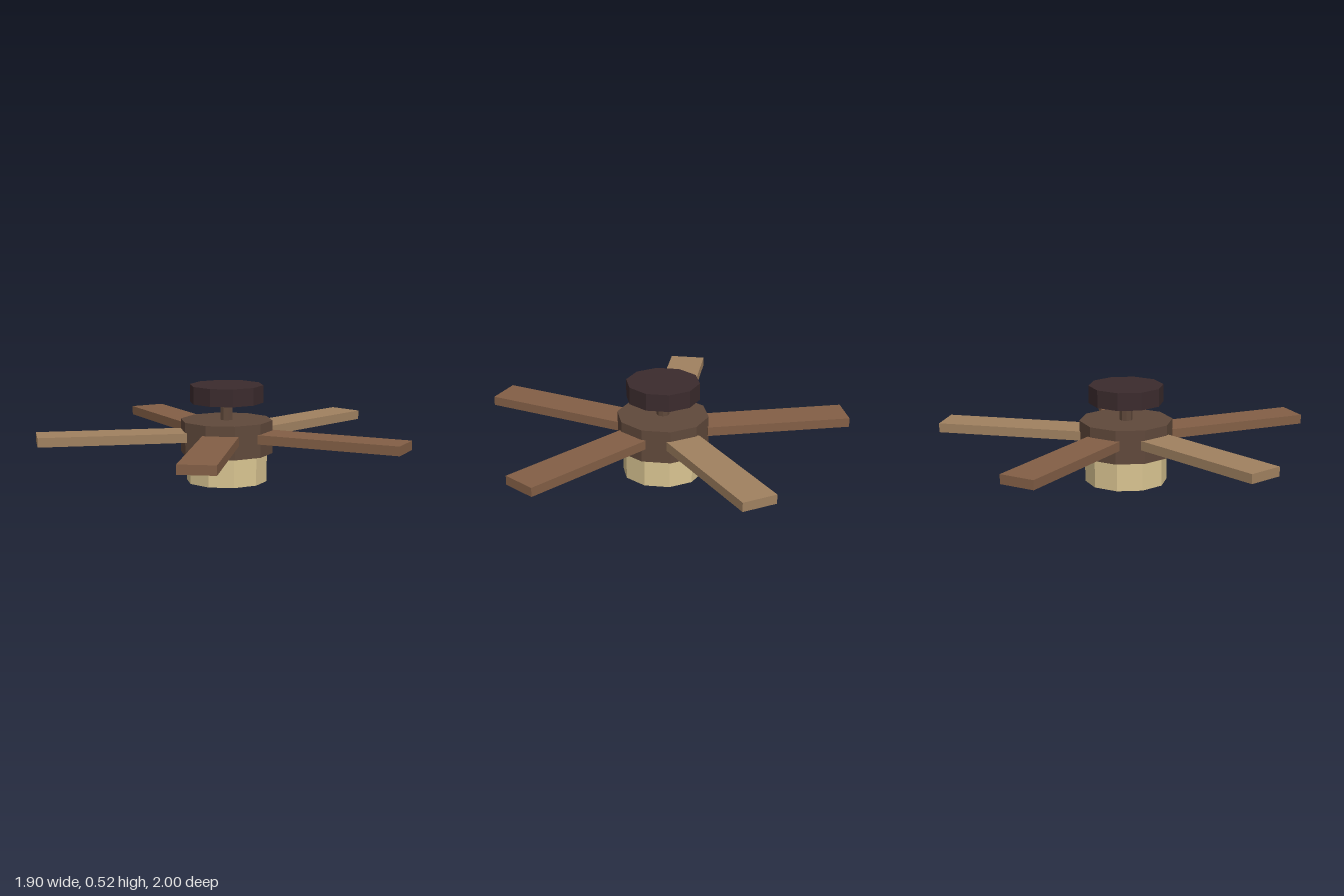
import * as THREE from 'three';

const material = (name, color) => {
  const m = new THREE.MeshStandardMaterial({ color, flatShading: true });
  m.name = name;
  return m;
};

export function createModel() {
  const darkBrown = material('dark brown', 0x3b2b2d);
  const midBrown = material('mid brown', 0x60493b);
  const redWood = material('reddish wood', 0x835f46);
  const paleWood = material('pale wood', 0xa08160);
  const cream = material('cream glass', 0xd9c491);

  const fan = new THREE.Group();
  fan.name = 'ceilingFan';
  fan.position.x = -0.069; // centres the five-blade outline

  // Upright faceted drum between two heights
  const drum = (name, radius, y0, y1, sides, mat) => {
    const mesh = new THREE.Mesh(new THREE.CylinderGeometry(radius, radius, y1 - y0, sides), mat);
    mesh.name = name;
    mesh.position.y = (y0 + y1) / 2;
    fan.add(mesh);
  };
  drum('lampShade', 0.22, 0, 0.155, 10, cream);
  drum('motorHousing', 0.25, 0.155, 0.335, 10, midBrown);
  drum('downRod', 0.035, 0.335, 0.43, 8, midBrown);
  drum('ceilingMount', 0.2, 0.43, 0.525, 10, darkBrown);

  // Five flat blades in alternating woods
  const inner = 0.23, outer = 1.02;
  const bladeGeometry = new THREE.BoxGeometry(outer - inner, 0.05, 0.195);
  bladeGeometry.translate((inner + outer) / 2, 0.255, 0);
  for (let i = 0; i < 5; i++) {
    const blade = new THREE.Mesh(bladeGeometry, i % 2 ? paleWood : redWood);
    blade.name = 'blade' + (i + 1);
    blade.rotation.y = (i * Math.PI * 2) / 5;
    fan.add(blade);
  }

  const model = new THREE.Group();
  model.name = 'model';
  model.add(fan);
  return model;
}
